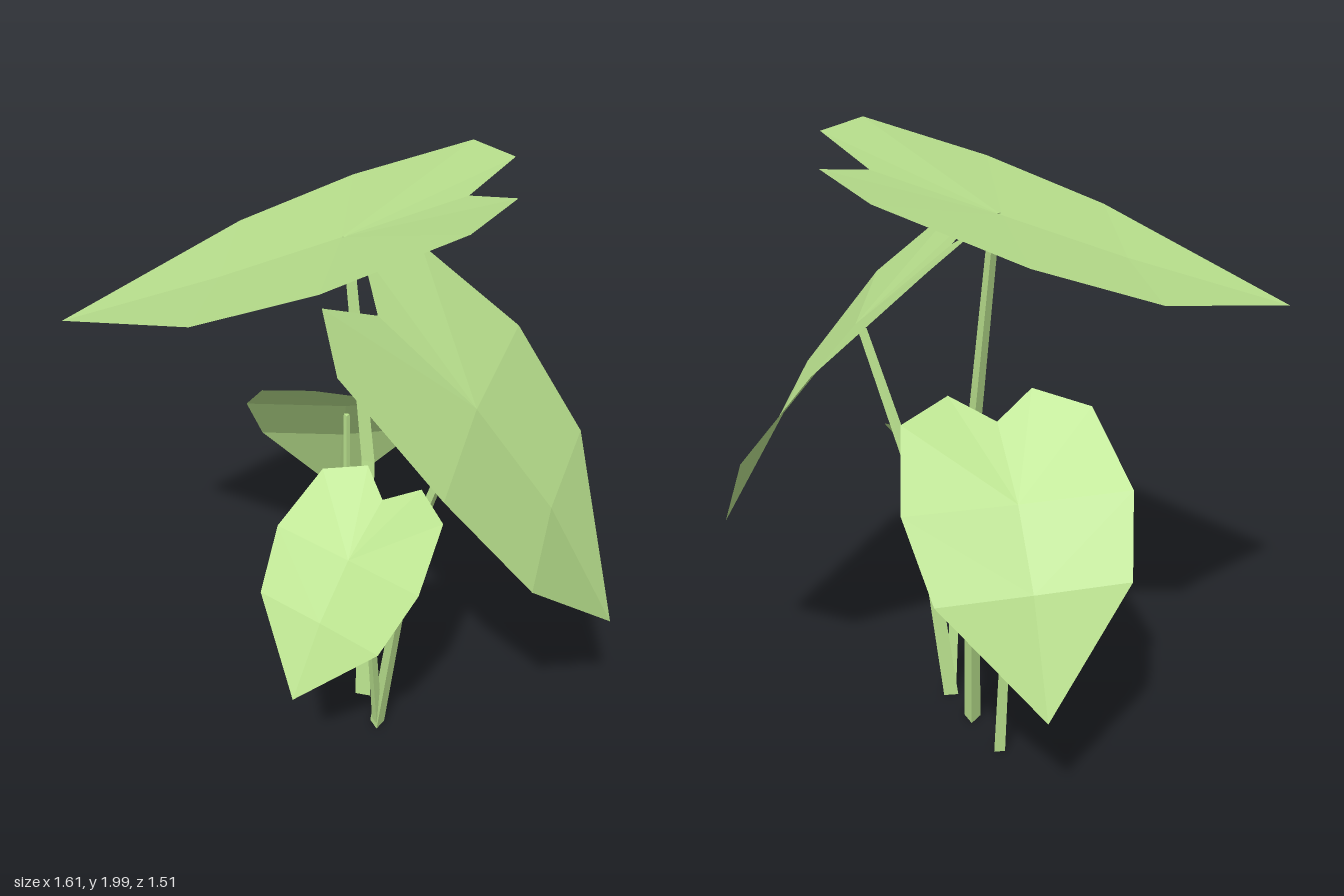
import * as THREE from 'three';

// Half-leaf rows at size 1: distance from notch, half width, flat height, extra height when arched
const ROWS = [
  [0.8, 0.443, 0.013, 0.09],
  [0.4, 0.524, 0.024, 0.083],
  [-0.02, 0.443, 0.035, 0],
  [-0.148, 0.197, 0.012, -0.03],
];

// Heart-shaped leaf hung between notch and tip, spread along the across direction
function makeLeaf({ notch, tip, across, size, arch }, material) {
  const start = new THREE.Vector3(...notch), end = new THREE.Vector3(...tip);
  const u = end.clone().sub(start).normalize();
  const w = new THREE.Vector3(...across).normalize();
  const n = w.clone().cross(u).normalize();
  const at = (along, side, height) => start.clone()
    .addScaledVector(u, along * size)
    .addScaledVector(w, side * size)
    .addScaledVector(n, height * size);

  // Midrib points sit a little below the edges
  const [m1, m2] = ROWS.slice(0, 2).map(([along, half, flat, bend]) =>
    at(along, 0, flat + arch * bend - 0.06 * half));

  const points = [];
  for (const side of [1, -1]) {
    const [s1, s2, s3, s4] = ROWS.map(([along, half, flat, bend]) =>
      at(along, side * half, flat + arch * bend));
    const faces = [
      [end, m1, s1], [m1, s2, s1], [m1, m2, s2],
      [m2, s3, s2], [m2, s4, s3], [m2, start, s4],
    ];
    // Swap corners on the mirrored half so every face looks up
    for (const [a, b, c] of faces) points.push(a, ...(side > 0 ? [b, c] : [c, b]));
  }
  const geo = new THREE.BufferGeometry().setFromPoints(points);
  geo.computeVertexNormals();
  return new THREE.Mesh(geo, material);
}

// Three-sided tapering stem bent through base, knee and top, with one ridge turned by yaw
function makeStem({ baseZ, knee, top, radius, yaw }, material) {
  const path = [[0.09, 0, baseZ], knee, top];
  const geo = new THREE.CylinderGeometry(radius * 0.58, radius, 1, 3, 2, false, yaw);
  const pos = geo.attributes.position;
  for (let i = 0; i < pos.count; i++) {
    const [x, y, z] = path[Math.round((pos.getY(i) + 0.5) * 2)];
    pos.setXYZ(i, pos.getX(i) + x, y, pos.getZ(i) + z);
  }
  geo.computeVertexNormals();
  return new THREE.Mesh(geo, material);
}

export function createModel() {
  const green = new THREE.MeshStandardMaterial({ color: 0xbae28e });
  green.name = 'leafGreen';
  green.flatShading = true;
  green.side = THREE.DoubleSide;

  const model = new THREE.Group();
  model.name = 'leafyPlant';

  const addSprig = (name, leafSpec, stemSpec) => {
    const leaf = makeLeaf(leafSpec, green);
    leaf.name = name + 'Leaf';
    const stem = makeStem(stemSpec, green);
    stem.name = name + 'Stem';
    model.add(leaf, stem);
  };

  addSprig('top',
    { notch: [0.39, 1.92, -0.05], tip: [-0.8, 1.47, -0.47], across: [0.36, -0.07, -0.93], size: 1, arch: 0 },
    { baseZ: -0.075, knee: [0.115, 1, -0.122], top: [0.055, 1.785, -0.165], radius: 0.032, yaw: -1.57 });
  addSprig('front',
    { notch: [0.075, 1.637, 0.08], tip: [0.74, 0.655, 0.493], across: [-0.544, 0, 0.84], size: 1, arch: 1 },
    { baseZ: 0.095, knee: [0.18, 0.8, 0.132], top: [0.325, 1.365, 0.22], radius: 0.029, yaw: -0.35 });
  addSprig('frontLow',
    { notch: [0.1, 0.975, 0.08], tip: [-0.275, 0.44, 0.343], across: [-0.57, 0, -0.82], size: 0.55, arch: 1 },
    { baseZ: 0.097, knee: [0.047, 0.53, 0.128], top: [-0.01, 0.835, 0.165], radius: 0.021, yaw: -0.35 });
  addSprig('back',
    { notch: [0.09, 1.175, -0.25], tip: [0.185, 0.44, -0.755], across: [0.975, 0, 0.22], size: 0.665, arch: 1.55 },
    { baseZ: -0.275, knee: [0.1, 0.62, -0.34], top: [0.13, 0.98, -0.445], radius: 0.021, yaw: -0.35 });

  return model;
}
